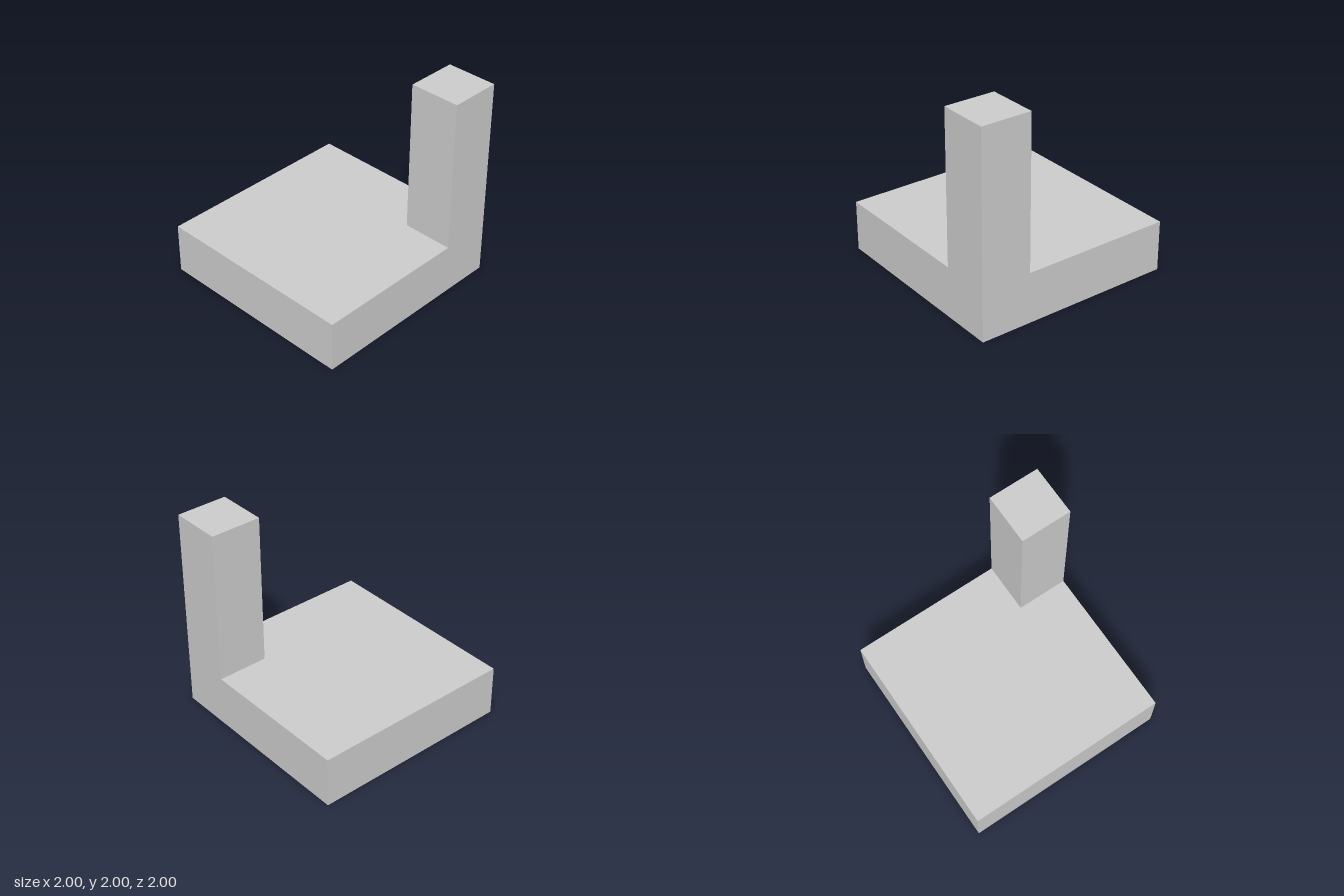
import * as THREE from 'three';

const material = new THREE.MeshStandardMaterial({ color: 0xcccccc, flatShading: true });

// Box given by its size and the centre of its underside
function block(name, [w, h, d], [x, y, z]) {
  const geometry = new THREE.BoxGeometry(w, h, d).translate(0, h / 2, 0);
  const mesh = new THREE.Mesh(geometry, material);
  mesh.name = name;
  mesh.position.set(x, y, z);
  return mesh;
}

export function createModel() {
  const model = new THREE.Group();
  model.name = 'slabWithCornerPost';

  // Square slab on the ground
  model.add(block('baseSlab', [2, 0.5, 2], [0, 0, 0]));

  // Square post flush with the back left corner
  model.add(block('cornerPost', [0.5, 1.5, 0.5], [0.75, 0.5, -0.75]));

  return model;
}
